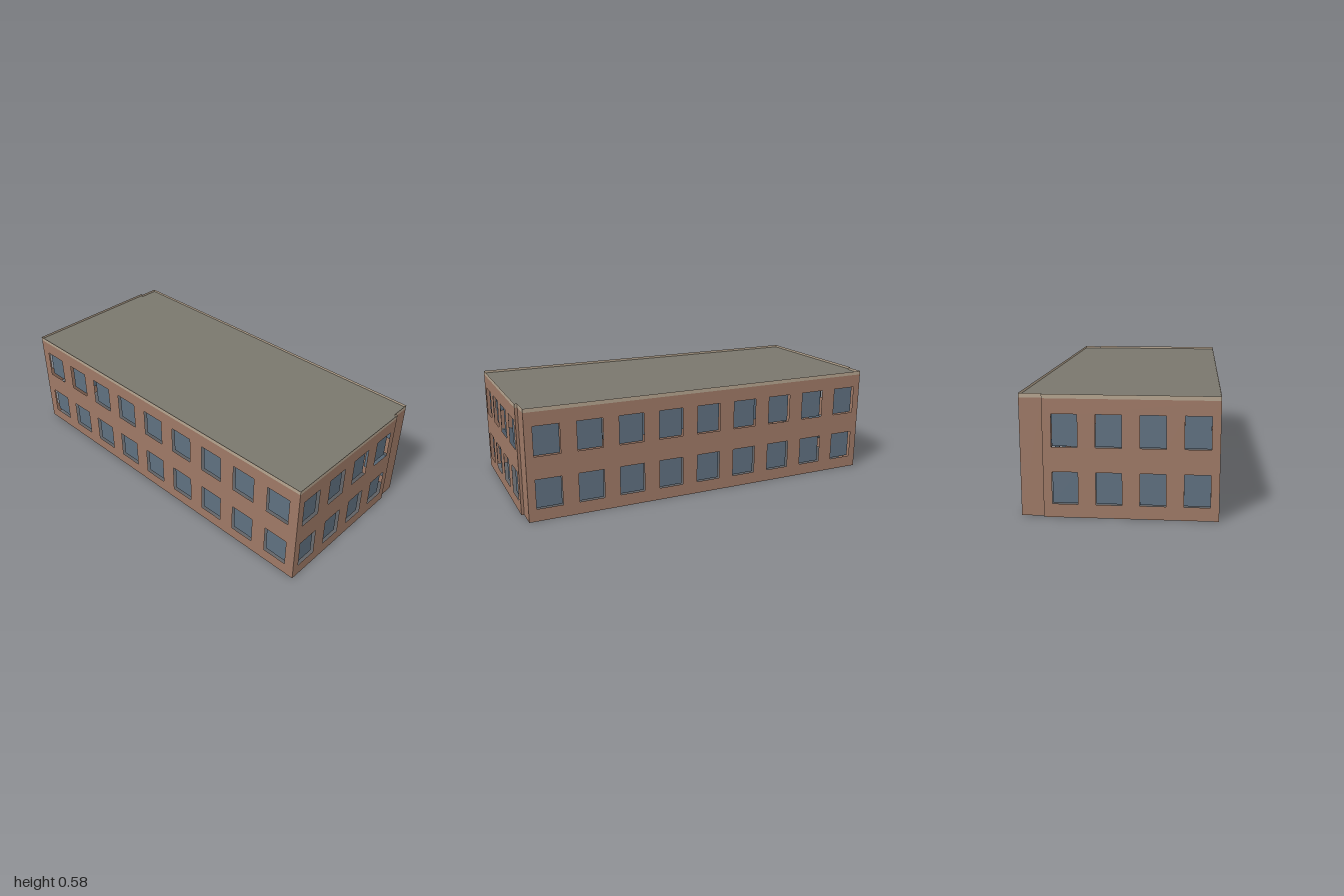
import * as THREE from 'three';

const mat = (name, color) => {
  const m = new THREE.MeshStandardMaterial({ color, side: THREE.DoubleSide });
  m.name = name;
  return m;
};

const W = 0.458, STEP_X = 0.35, STEP_Z = 0.986;  // half width, corner steps
const TRIM_Y = 0.56, TOP = 0.58, ROOF_Y = 0.567;
const SILLS = [0.065, 0.336], WIN_H = 0.153, RECESS = 0.016;

export function createModel() {
  const brick = mat('brick', 0x9e7966);
  const stone = mat('pale stone', 0xb5a48f);
  const glass = mat('blue glass', 0x5f7080);
  const roofing = mat('grey roofing', 0x7a776d);
  const building = new THREE.Group();
  building.name = 'building';

  const add = (parent, name, geometry, material, x = 0, y = 0, z = 0) => {
    const mesh = new THREE.Mesh(geometry, material);
    mesh.name = name;
    mesh.position.set(x, y, z);
    parent.add(mesh);
  };

  // One thin wall from a to b ([x, z] corners), outside facing its local +z.
  // centres: window positions along the wall, measured from a
  const addWall = (name, a, b, centres = [], winW = 0) => {
    const dx = b[0] - a[0], dz = b[1] - a[1], length = Math.hypot(dx, dz);
    const wall = new THREE.Group();
    wall.name = name;
    wall.position.set(a[0], 0, a[1]);
    wall.rotation.y = Math.atan2(-dz, dx);

    const shape = new THREE.Shape([[0, 0], [length, 0], [length, TRIM_Y], [0, TRIM_Y]]
      .map(p => new THREE.Vector2(...p)));
    for (const c of centres) for (const sill of SILLS) {
      const l = c - winW / 2, r = c + winW / 2, t = sill + WIN_H;
      shape.holes.push(new THREE.Path([[l, sill], [l, t], [r, t], [r, sill]]
        .map(p => new THREE.Vector2(...p))));
      // Pane set back behind the opening
      add(wall, 'windowPane', new THREE.PlaneGeometry(winW, WIN_H), glass,
        c, sill + WIN_H / 2, -RECESS);
    }
    add(wall, 'brickWall', new THREE.ShapeGeometry(shape), brick);
    add(wall, 'parapetTrim', new THREE.PlaneGeometry(length, TOP - TRIM_Y), stone,
      length / 2, (TRIM_Y + TOP) / 2, 0);
    building.add(wall);
  };

  // Outline, running round the building with the outside on the right
  const P = [
    [-W, 1], [STEP_X, 1], [STEP_X, STEP_Z], [W, STEP_Z],
    [W, -STEP_Z], [STEP_X, -STEP_Z], [STEP_X, -1], [-W, -1],
  ];
  const endX = [0, 1, 2, 3].map(i => -0.358 + i * 0.2023);
  const sideZ = Array.from({ length: 9 }, (_, i) => 0.878 - i * 0.2195);

  addWall('frontWall', P[0], P[1], endX.map(x => x + W), 0.12);
  addWall('frontStep', P[1], P[2]);
  addWall('frontCorner', P[2], P[3]);
  addWall('leftWall', P[3], P[4], sideZ.map(z => STEP_Z - z), 0.134);
  addWall('backCorner', P[4], P[5]);
  addWall('backStep', P[5], P[6]);
  addWall('backWall', P[6], P[7], endX.map(x => STEP_X - x), 0.12);
  addWall('rightWall', P[7], P[0], sideZ.map(z => z + 1), 0.134);

  // Flat roof just below the parapet top
  const roof = new THREE.ShapeGeometry(
    new THREE.Shape(P.map(([x, z]) => new THREE.Vector2(x, -z))));
  roof.rotateX(-Math.PI / 2);
  add(building, 'roof', roof, roofing, 0, ROOF_Y, 0);

  return building;
}
